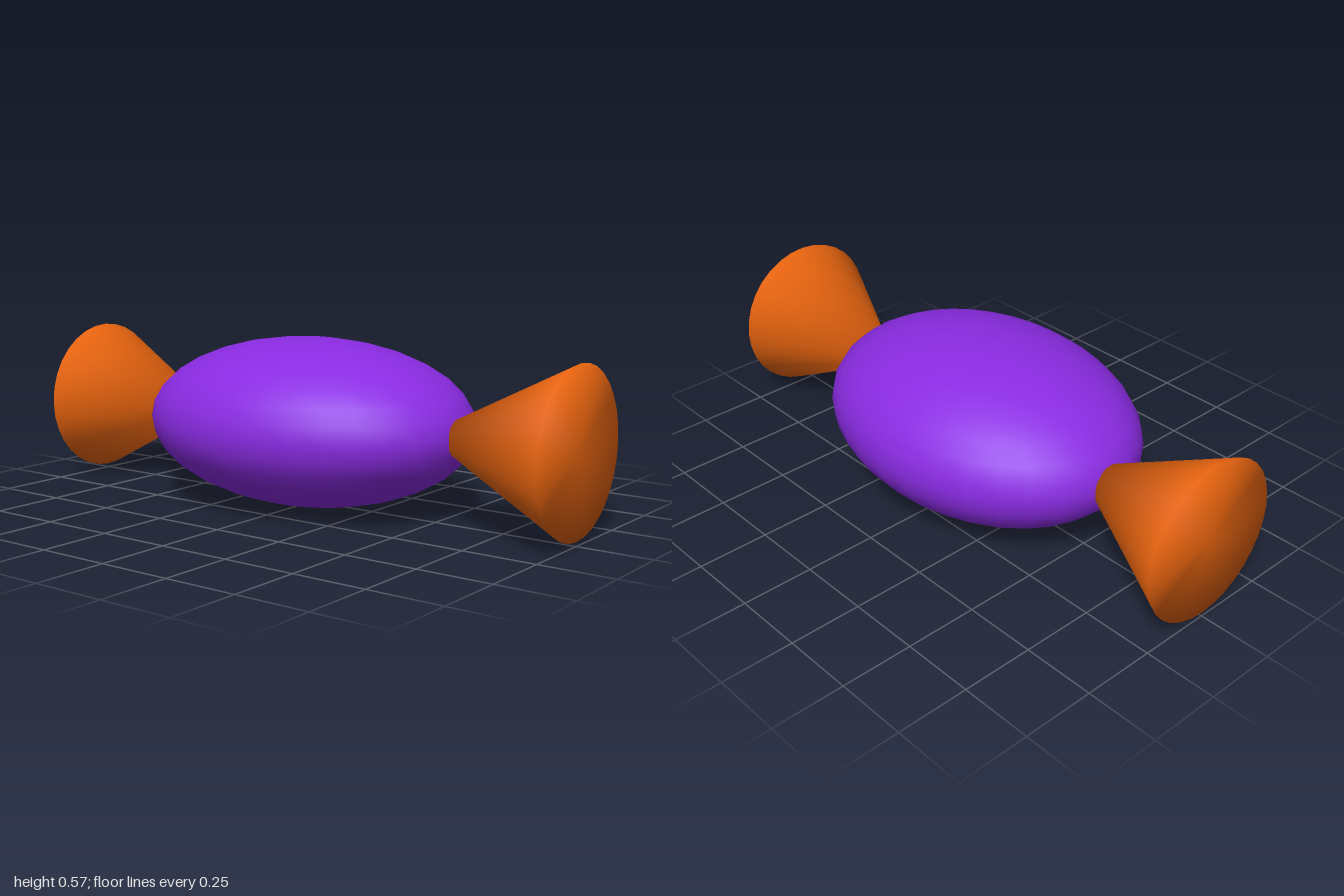
import * as THREE from 'three';
import { mergeVertices } from 'three/addons/utils/BufferGeometryUtils.js';

const CENTER_Y = 0.287;

// Closed cone whose normals blend smoothly across the rim
function smoothCone(radius, height, sides) {
  const cone = new THREE.ConeGeometry(radius, height, sides);
  cone.deleteAttribute('normal');
  cone.deleteAttribute('uv');
  const merged = mergeVertices(cone, 1e-4);
  merged.computeVertexNormals();
  return merged;
}

export function createModel() {
  const model = new THREE.Group();
  model.name = 'wrappedCandy';
  const bodyMaterial = new THREE.MeshStandardMaterial({ color: 0x8a2be2 });
  const wrapperMaterial = new THREE.MeshStandardMaterial({ color: 0xe8640f });

  // Flattened oval body, set very slightly to the back
  const body = new THREE.Mesh(new THREE.SphereGeometry(1, 32, 16), bodyMaterial);
  body.name = 'candyBody';
  body.scale.set(0.455, 0.285, 0.607);
  body.position.set(0, CENTER_Y, -0.011);
  model.add(body);

  // Flared wrapper ends, with their tips buried in the body
  const radius = 0.273, height = 0.545;
  const wrapperGeometry = smoothCone(radius, height, 32);
  for (const side of [1, -1]) {
    const end = new THREE.Mesh(wrapperGeometry, wrapperMaterial);
    end.name = side > 0 ? 'frontWrapperEnd' : 'backWrapperEnd';
    end.rotation.x = -side * Math.PI / 2;
    end.position.set(0, CENTER_Y + 0.001, side * (1 - height / 2));
    model.add(end);
  }
  return model;
}
